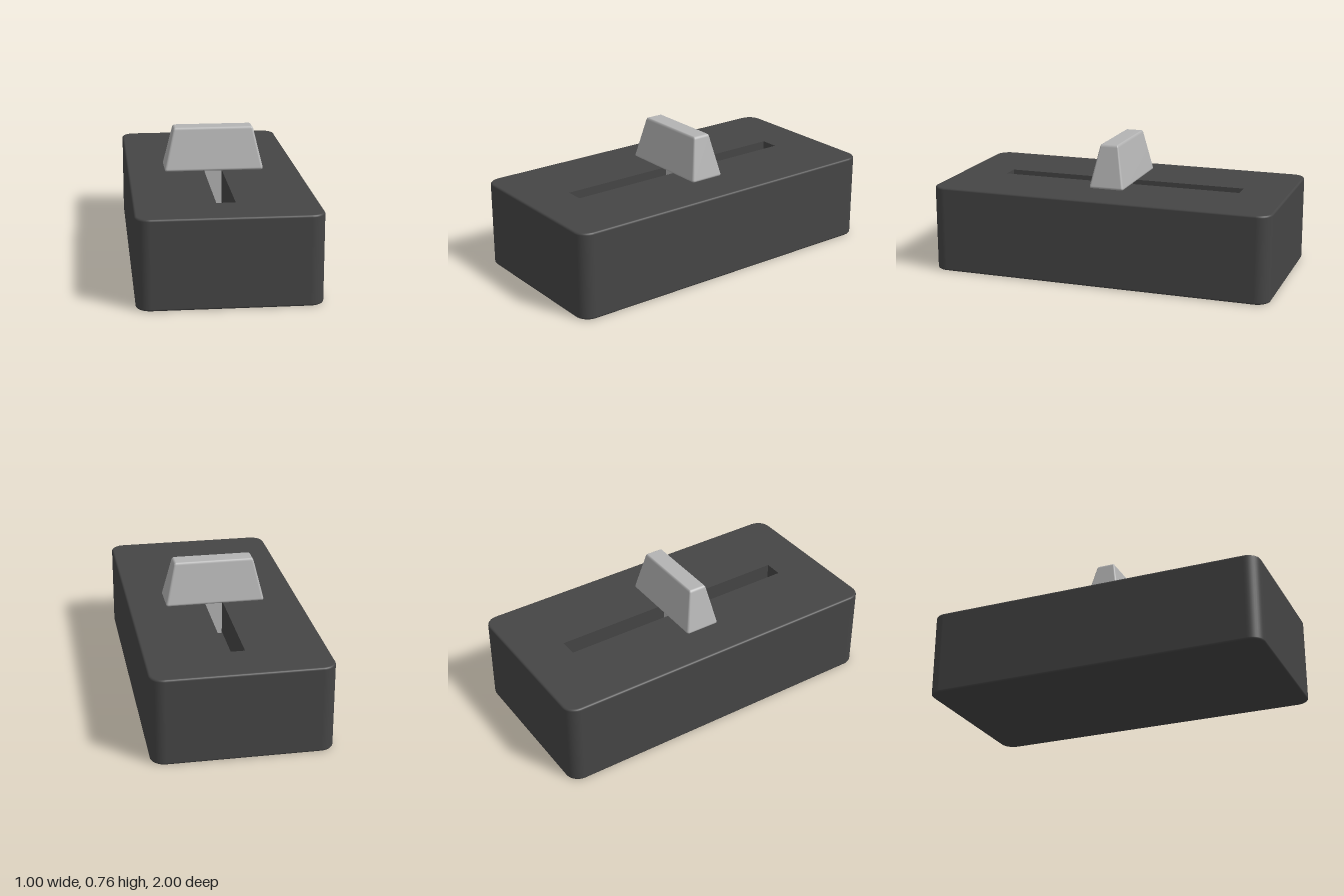
import * as THREE from 'three';
import { RoundedBoxGeometry } from 'three/addons/geometries/RoundedBoxGeometry.js';
import { mergeVertices } from 'three/addons/utils/BufferGeometryUtils.js';

const W = 1, L = 2, H = 0.5;            // housing size
const CORNER = 0.08, EDGE = 0.012;      // vertical corner radius, small edge rounding
const SLOT_W = 0.105, SLOT_L = 1.44, SLOT_D = 0.2;
const STEPS = 10;                       // segments per vertical corner

// Outline of the rounded rectangle: corner centre plus outward direction
function outline() {
  const pts = [];
  [[1, 1], [-1, 1], [-1, -1], [1, -1]].forEach(([sx, sz], k) => {
    for (let i = 0; i <= STEPS; i++) {
      const a = (k + i / STEPS) * Math.PI / 2;
      pts.push({ cx: sx * (W / 2 - CORNER), cz: sz * (L / 2 - CORNER), dx: Math.cos(a), dz: Math.sin(a) });
    }
  });
  return pts;
}

// Side wall with softly rounded top and bottom edges
function wallGeometry() {
  const ring = outline(), n = ring.length, pos = [], nor = [], idx = [];
  const rows = [];
  for (let i = 0; i <= 4; i++) rows.push([-Math.PI / 2 + i * Math.PI / 8, EDGE]);
  for (let i = 0; i <= 4; i++) rows.push([i * Math.PI / 8, H - EDGE]);
  rows.forEach(([phi, y]) => ring.forEach((p) => {
    const r = CORNER - EDGE + EDGE * Math.cos(phi);
    pos.push(p.cx + p.dx * r, y + EDGE * Math.sin(phi), p.cz + p.dz * r);
    nor.push(p.dx * Math.cos(phi), Math.sin(phi), p.dz * Math.cos(phi));
  }));
  for (let j = 0; j < rows.length - 1; j++) {
    for (let i = 0; i < n; i++) {
      const a = j * n + i, b = j * n + (i + 1) % n;
      idx.push(a, a + n, b, b, a + n, b + n);
    }
  }
  const g = new THREE.BufferGeometry();
  g.setAttribute('position', new THREE.Float32BufferAttribute(pos, 3));
  g.setAttribute('normal', new THREE.Float32BufferAttribute(nor, 3));
  g.setIndex(idx);
  return g;
}

// Flat cap, optionally pierced by the slot
function capShape(withSlot) {
  const r = CORNER - EDGE;
  const shape = new THREE.Shape(outline().map((p) => new THREE.Vector2(p.cx + p.dx * r, p.cz + p.dz * r)));
  if (withSlot) {
    const x = SLOT_W / 2, z = SLOT_L / 2;
    shape.holes.push(new THREE.Path([[-x, -z], [-x, z], [x, z], [x, -z]].map((c) => new THREE.Vector2(...c))));
  }
  return new THREE.ShapeGeometry(shape);
}

// Four-sided tapered block, given half sizes at bottom and top
function taperedBlock(bx, bz, tx, tz, y0, y1) {
  const g = new THREE.BoxGeometry(2, y1 - y0, 2).toNonIndexed();
  const p = g.attributes.position;
  for (let i = 0; i < p.count; i++) {
    const top = p.getY(i) > 0;
    p.setX(i, p.getX(i) * (top ? tx : bx));
    p.setZ(i, p.getZ(i) * (top ? tz : bz));
  }
  g.translate(0, (y0 + y1) / 2, 0);
  g.computeVertexNormals();
  return g;
}

// Tapered handle with rounded edges
function handleGeometry() {
  const h = 0.25, g = new RoundedBoxGeometry(0.58, h, 0.21, 4, 0.015);
  const p = g.attributes.position;
  for (let i = 0; i < p.count; i++) {
    const t = p.getY(i) / h + 0.5;
    p.setX(i, p.getX(i) * (1 - 0.205 * t));
    p.setZ(i, p.getZ(i) * (1 - 0.5 * t));
  }
  g.deleteAttribute('normal');
  g.deleteAttribute('uv');
  const smooth = mergeVertices(g, 1e-5);
  smooth.computeVertexNormals();
  smooth.translate(0, 0.515 + h / 2, 0);
  return smooth;
}

export function createModel() {
  const model = new THREE.Group();
  model.name = 'sliderSwitch';
  const dark = new THREE.MeshStandardMaterial({ color: 0x454545 });
  const darkOpen = new THREE.MeshStandardMaterial({ color: 0x454545, side: THREE.DoubleSide });
  const grey = new THREE.MeshStandardMaterial({ color: 0xb4b4b4 });

  const add = (parent, name, geometry, material) => {
    const m = new THREE.Mesh(geometry, material);
    m.name = name;
    parent.add(m);
    return m;
  };

  // Housing
  const housing = new THREE.Group();
  housing.name = 'housing';
  add(housing, 'housingWall', wallGeometry(), dark);
  const top = add(housing, 'housingTop', capShape(true), dark);
  top.rotation.x = -Math.PI / 2;
  top.position.y = H;
  add(housing, 'housingBottom', capShape(false), dark).rotation.x = Math.PI / 2;

  // Slot channel: a box without its upper face
  const channel = new THREE.BoxGeometry(SLOT_W, SLOT_D, SLOT_L);
  const faces = Array.from(channel.index.array);
  faces.splice(12, 6);
  channel.setIndex(faces);
  channel.clearGroups();
  add(housing, 'slotChannel', channel, darkOpen).position.y = H - SLOT_D / 2;

  // Slider: stem, flared collar and handle
  const slider = new THREE.Group();
  slider.name = 'slider';
  add(slider, 'sliderStem', taperedBlock(0.048, 0.046, 0.048, 0.046, H - SLOT_D, 0.506), grey);
  add(slider, 'sliderCollar', taperedBlock(0.048, 0.046, 0.065, 0.05, 0.504, 0.517), grey);
  add(slider, 'sliderHandle', handleGeometry(), grey);

  model.add(housing, slider);
  return model;
}
